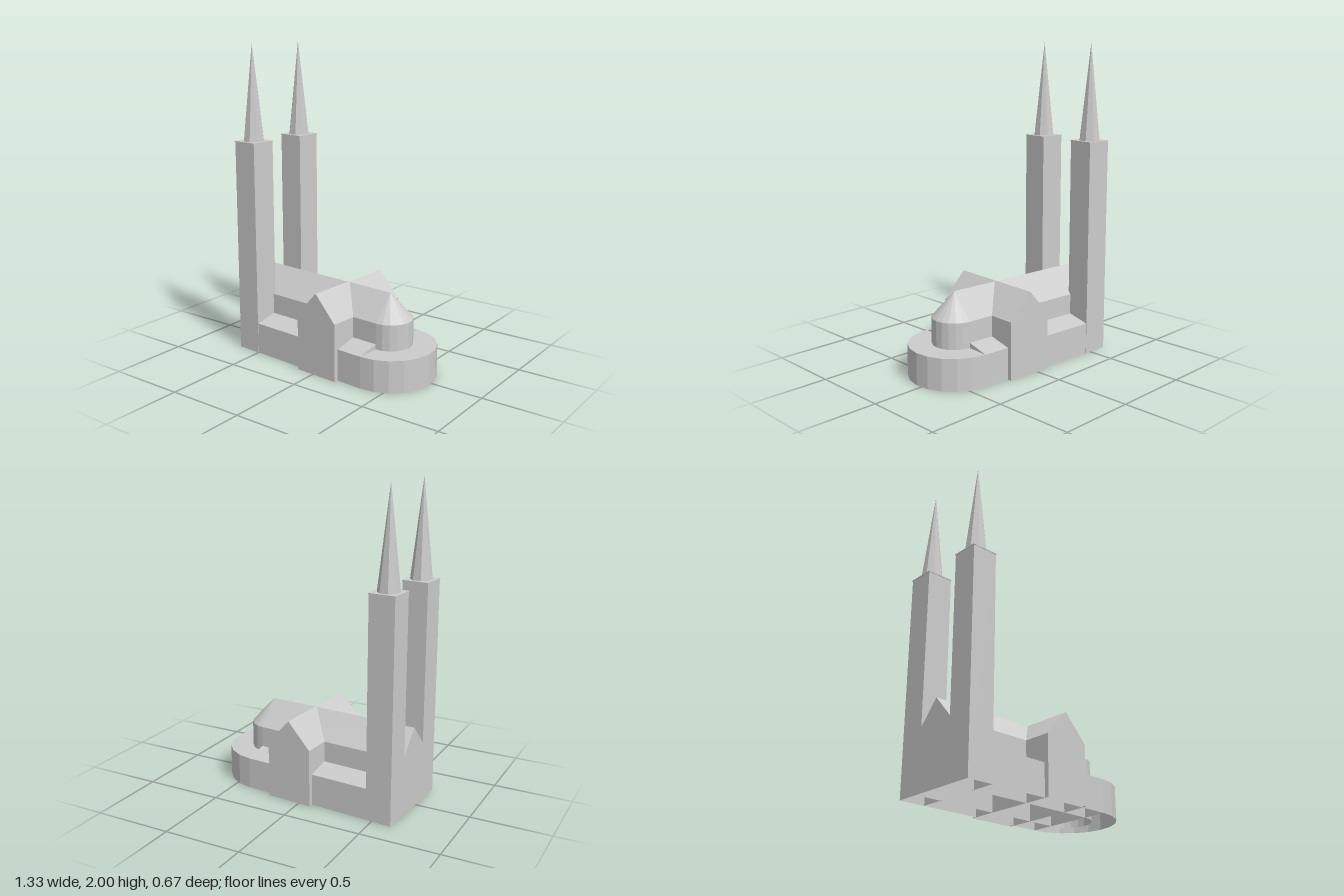
import * as THREE from 'three';

const stone = new THREE.MeshStandardMaterial({ color: 0xcccccc, flatShading: true, side: THREE.DoubleSide });
stone.name = 'pale stone';

const WEST = -0.693, EAST = 0.328;   // ends of the straight part
const NAVE = 0.143, AISLE = 0.291;   // half widths
const EAVE = 0.367, AISLE_TOP = 0.202;

// Drops every triangle that lies on the ground, leaving a hollow shell
function openBottom(geometry) {
  const flat = geometry.index ? geometry.toNonIndexed() : geometry;
  const p = flat.attributes.position;
  const kept = [];
  for (let i = 0; i < p.count; i += 3) {
    if ([0, 1, 2].every(k => Math.abs(p.getY(i + k)) < 1e-5)) continue;
    for (let k = 0; k < 3; k++) kept.push(p.getX(i + k), p.getY(i + k), p.getZ(i + k));
  }
  const out = new THREE.BufferGeometry();
  out.setAttribute('position', new THREE.Float32BufferAttribute(kept, 3));
  out.computeVertexNormals();
  return out;
}

// Extrudes a cross-section along z from a to b
function prism(points, a, b) {
  const shape = new THREE.Shape(points.map(([x, y]) => new THREE.Vector2(x, y)));
  const geometry = new THREE.ExtrudeGeometry(shape, { depth: b - a, bevelEnabled: false });
  return geometry.translate(0, 0, a);
}

const gabled = (half, eave, ridge) => [[-half, 0], [half, 0], [half, eave], [0, ridge], [-half, eave]];

export function createModel() {
  const model = new THREE.Group();
  model.name = 'church';
  const church = new THREE.Group();
  church.name = 'churchBody';
  church.position.x = 0.046;
  church.rotation.y = -0.065;
  model.add(church);

  const add = (name, geometry, x = 0, y = 0, z = 0) => {
    const mesh = new THREE.Mesh(geometry, stone);
    mesh.name = name;
    mesh.position.set(x, y, z);
    church.add(mesh);
  };

  // Nave with choir, and the crossing transept
  add('nave', openBottom(prism(gabled(NAVE, EAVE, 0.525), WEST, EAST).rotateY(Math.PI / 2)));
  add('transept', openBottom(prism(gabled(0.15, EAVE, 0.53), -0.32, 0.32)), 0.003);

  for (const side of [-1, 1]) {
    const label = side > 0 ? 'front' : 'back';

    // Lean-to aisle
    const section = [[NAVE, 0], [AISLE, 0], [AISLE, AISLE_TOP], [NAVE, 0.235]].map(([x, y]) => [-side * x, y]);
    add(label + 'Aisle', openBottom(prism(section, WEST, EAST).rotateY(Math.PI / 2)));

    // Tower with thin cap and eight-sided spire
    const size = 0.166, x = WEST + size / 2, z = side * 0.21;
    add(label + 'Tower', openBottom(new THREE.BoxGeometry(size, 1.382, size).translate(0, 0.691, 0)), x, 0, z);
    add(label + 'TowerCap', new THREE.BoxGeometry(size + 0.006, 0.006, size + 0.006), x, 1.385, z);
    const spire = new THREE.CylinderGeometry(0, 0.068, 0.612, 8, 1, true).rotateY(Math.PI / 8);
    add(label + 'Spire', spire, x, 1.388 + 0.306, z);
  }

  // Rounded east end: apse wall, half-cone roof and low ambulatory
  const halfRound = (top, bottom, h) => new THREE.CylinderGeometry(top, bottom, h, 10, 1, true, 0, Math.PI);
  add('apseWall', halfRound(NAVE, NAVE, EAVE), EAST, EAVE / 2);
  add('apseRoof', halfRound(0, NAVE, 0.525 - EAVE), EAST, (0.525 + EAVE) / 2);
  add('ambulatoryWall', halfRound(AISLE, AISLE, AISLE_TOP), EAST, AISLE_TOP / 2);
  const ring = new THREE.RingGeometry(NAVE, AISLE, 10, 1, -Math.PI / 2, Math.PI).rotateX(-Math.PI / 2);
  add('ambulatoryRoof', ring, EAST, AISLE_TOP);

  return model;
}
